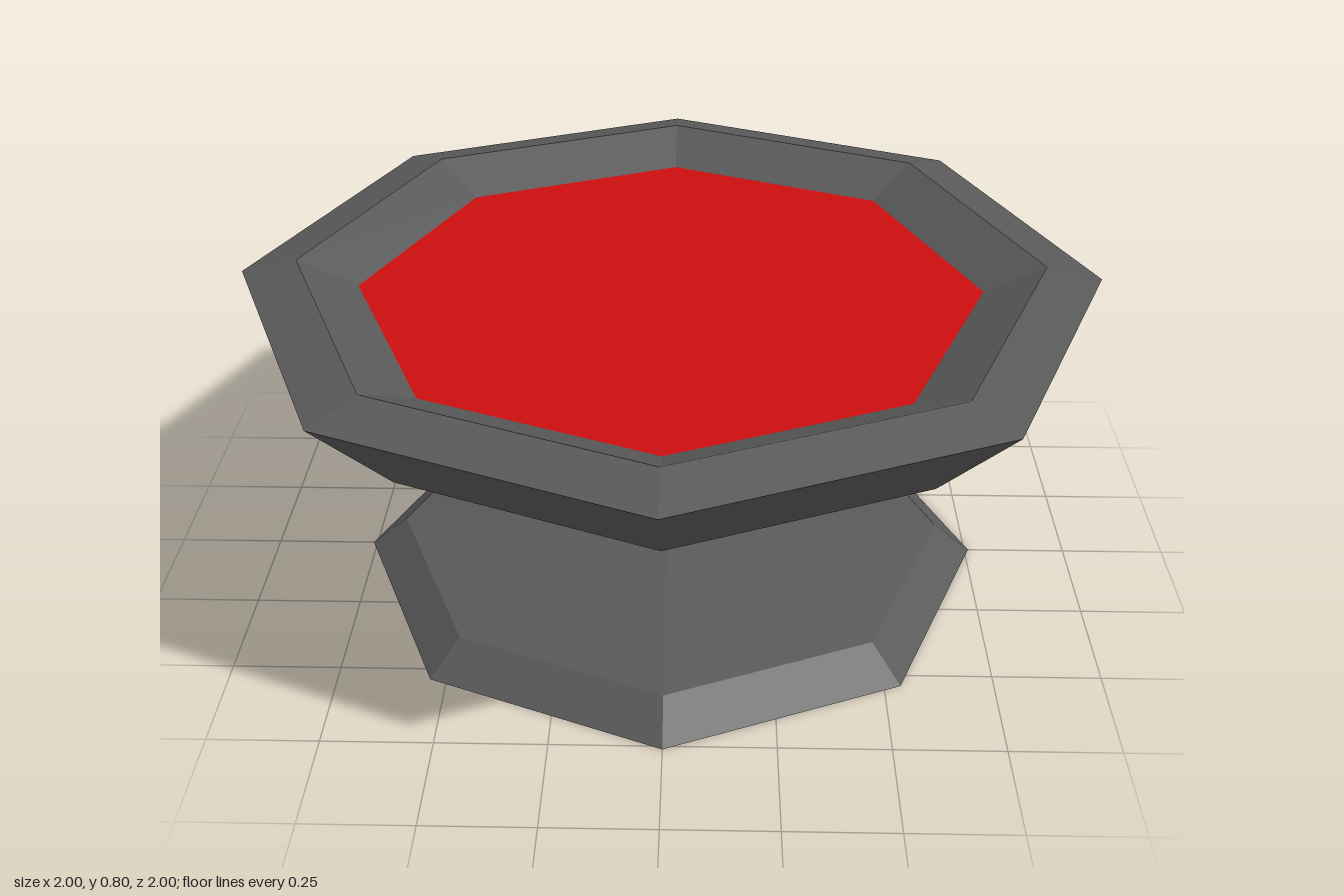
import * as THREE from 'three';

const SIDES = 8;

export function createModel() {
  const stone = new THREE.MeshStandardMaterial({ color: 0x595959, flatShading: true });
  stone.name = 'dark grey stone';
  const red = new THREE.MeshStandardMaterial({ color: 0xcc0e0e, flatShading: true });
  red.name = 'red liquid';

  const model = new THREE.Group();
  model.name = 'pedestalBowl';

  // Faceted octagonal ring from a [radius, height] profile, corners on the axes
  function addTurned(name, profile, material) {
    const points = profile.map(([r, y]) => new THREE.Vector2(r, y));
    const geometry = new THREE.LatheGeometry(points, SIDES).toNonIndexed();
    geometry.computeVertexNormals();
    const mesh = new THREE.Mesh(geometry, material);
    mesh.name = name;
    model.add(mesh);
  }

  // Foot with a closed underside and sloping top
  addTurned('foot', [[0, 0], [0.76, 0], [0.67, 0.075], [0.11, 0.14]], stone);

  // Short tapered stem
  addTurned('stem', [[0.11, 0.14], [0.075, 0.31]], stone);

  // Bowl outside, up over the rim and down to the liquid
  addTurned('bowl', [
    [0.075, 0.31], [0.635, 0.44], [0.805, 0.56], [1, 0.77],
    [0.87, 0.8], [0.73, 0.735],
  ], stone);

  // Flat liquid surface
  addTurned('liquid', [[0.73, 0.735], [0, 0.735]], red);

  return model;
}
